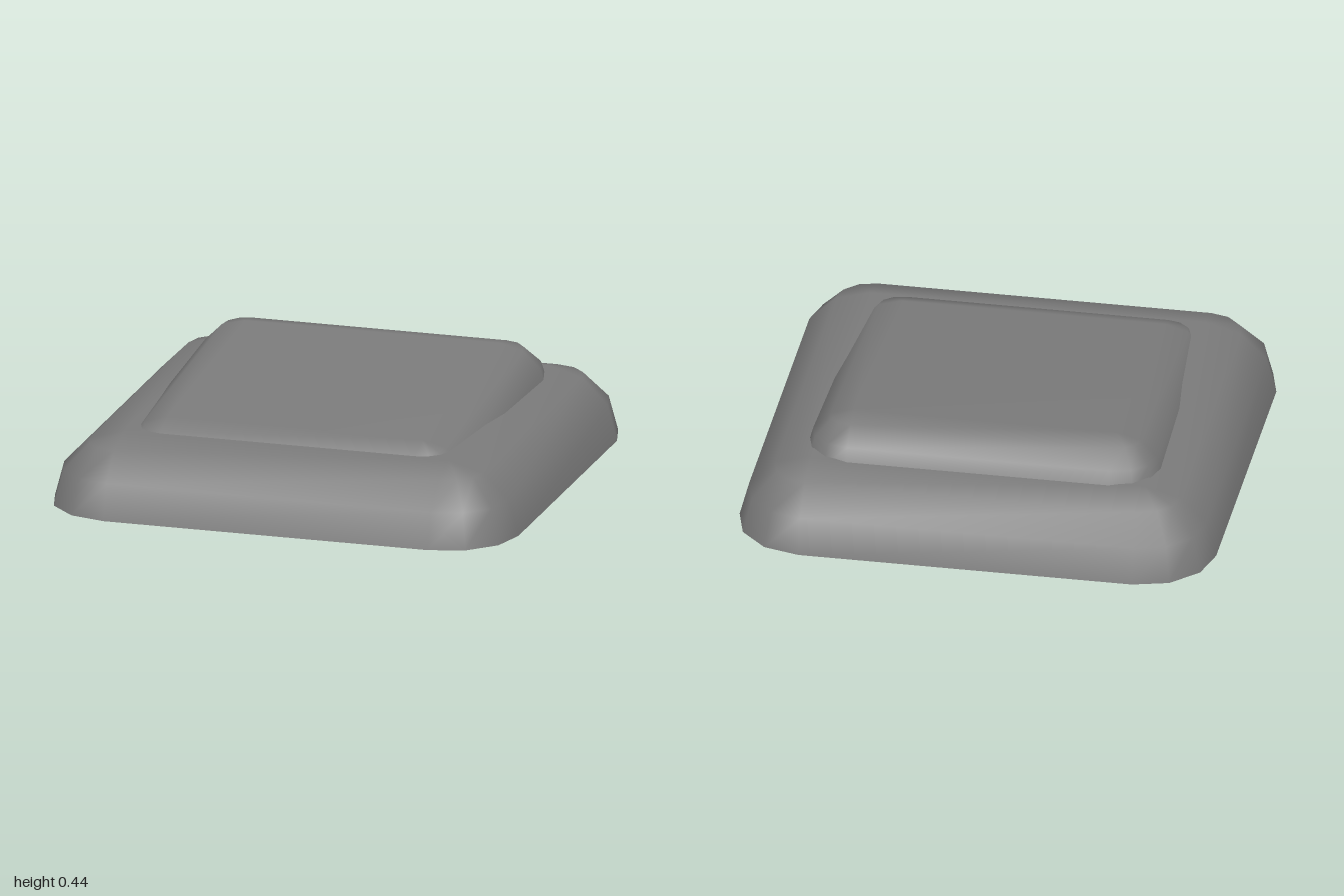
import * as THREE from 'three';
import { mergeVertices } from 'three/addons/utils/BufferGeometryUtils.js';

const STEPS = 3; // segments per rounded quarter turn

// Open-bottomed square cushion: rounded upper edges and corners, flat top.
// skip(ring, j) leaves out single wall faces.
function cushionGeometry(half, radius, skip = () => false) {
  const positions = [], index = [];
  const core = half - radius, perRing = 4 * (STEPS + 1);

  // Rings from the bottom rim up to the flat top
  for (let ring = 0; ring <= STEPS; ring++) {
    const rise = (ring / STEPS) * Math.PI / 2;
    const reach = radius * Math.cos(rise);
    for (let corner = 0; corner < 4; corner++) {
      const mid = (corner + 0.5) * Math.PI / 2;
      for (let s = 0; s <= STEPS; s++) {
        const turn = (corner + s / STEPS) * Math.PI / 2;
        positions.push(
          core * Math.sign(Math.cos(mid)) + reach * Math.cos(turn),
          radius * Math.sin(rise),
          core * Math.sign(Math.sin(mid)) + reach * Math.sin(turn)
        );
      }
    }
  }

  // Walls
  for (let ring = 0; ring < STEPS; ring++) {
    for (let j = 0; j < perRing; j++) {
      if (skip(ring, j)) continue;
      const a = ring * perRing + j, b = ring * perRing + (j + 1) % perRing;
      index.push(a, a + perRing, b, b, a + perRing, b + perRing);
    }
  }

  // Flat top
  const [p, q, r, s] = [0, 1, 2, 3].map(k => STEPS * perRing + k * (STEPS + 1));
  index.push(p, r, q, p, s, r);

  // Shared corners give one soft surface across bevel and top
  const geometry = new THREE.BufferGeometry();
  geometry.setAttribute('position', new THREE.Float32BufferAttribute(positions, 3));
  geometry.setIndex(index);
  const merged = mergeVertices(geometry);
  merged.computeVertexNormals();
  return merged;
}

export function createModel() {
  const group = new THREE.Group();
  group.name = 'rockerSwitch';
  const material = new THREE.MeshStandardMaterial({ color: 0x7b7b7b, side: THREE.DoubleSide });

  // Wall housing
  const housing = new THREE.Mesh(cushionGeometry(1, 0.3), material);
  housing.name = 'housing';
  group.add(housing);

  // Tilted rocker; its lowest strip is cut away along the front and front corners
  const frontStrip = (ring, j) => ring === 0 && j < 2 * STEPS + 1;
  const rocker = new THREE.Mesh(cushionGeometry(0.75, 0.2, frontStrip), material);
  rocker.name = 'rocker';
  rocker.position.set(0, 0.19, 0.018);
  rocker.rotation.x = THREE.MathUtils.degToRad(5);
  group.add(rocker);

  return group;
}
